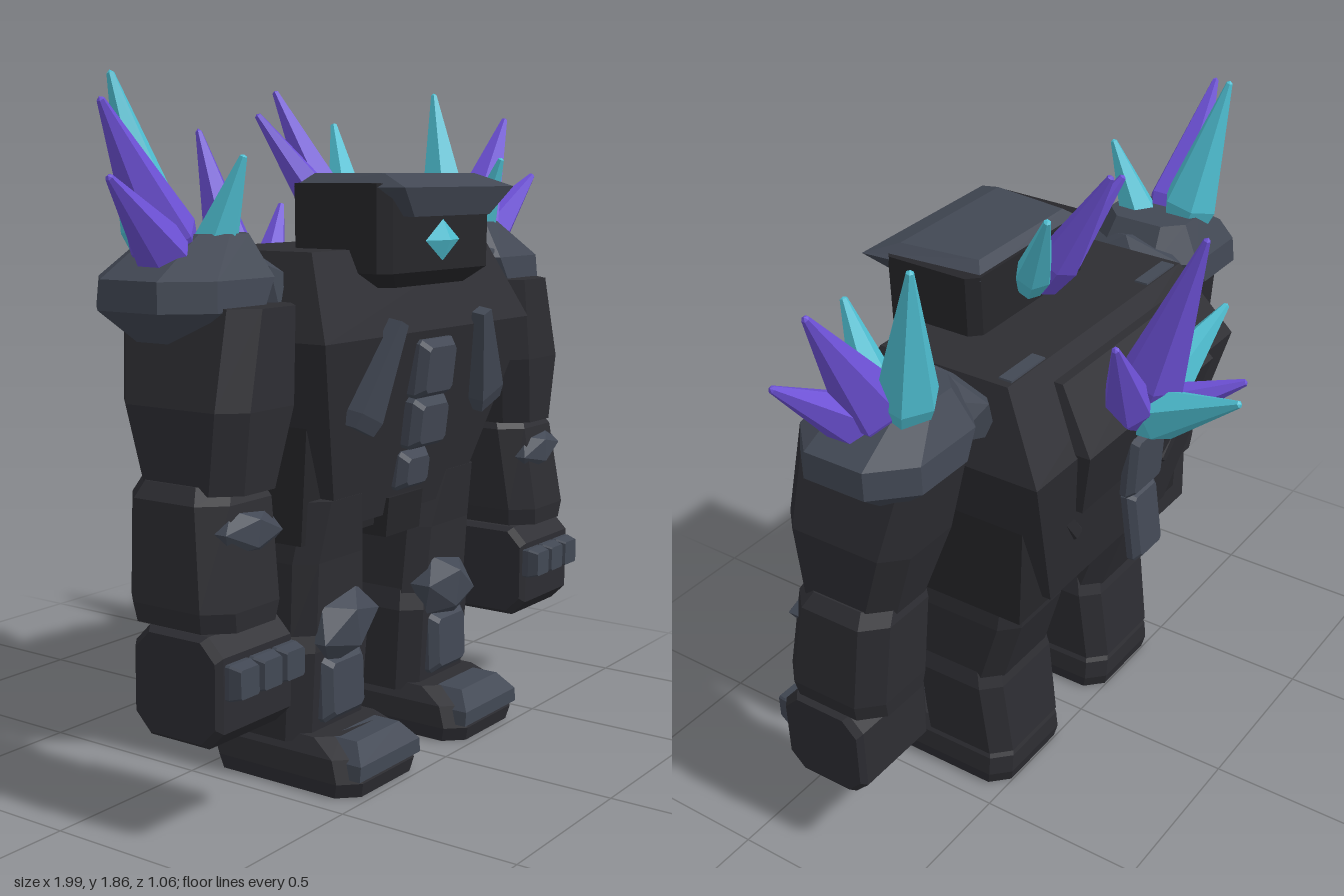
import * as THREE from 'three';

const mat = (name, color) => {
  const m = new THREE.MeshStandardMaterial({ color, flatShading: true });
  m.name = name;
  return m;
};

// Stacked rings [y, centreX, centreZ, halfX, halfZ], bottom to top; cut chamfers the corners
function loft(rings, cut = 0) {
  const pos = [];
  const loops = rings.map(([y, cx, cz, hx, hz]) => {
    const c = Math.min(cut, hx * 0.6, hz * 0.6);
    const pts = c > 0
      ? [[hx - c, hz], [hx, hz - c], [hx, c - hz], [hx - c, -hz], [c - hx, -hz], [-hx, c - hz], [-hx, hz - c], [c - hx, hz]]
      : [[hx, hz], [hx, -hz], [-hx, -hz], [-hx, hz]];
    return pts.map(([x, z]) => [cx + x, y, cz + z]);
  });
  const tri = (a, b, c) => pos.push(...a, ...b, ...c);
  const n = loops[0].length;
  for (let k = 0; k < loops.length - 1; k++) {
    for (let i = 0; i < n; i++) {
      const j = (i + 1) % n, lo = loops[k], hi = loops[k + 1];
      tri(lo[i], lo[j], hi[j]);
      tri(lo[i], hi[j], hi[i]);
    }
  }
  const bottom = loops[0], top = loops[loops.length - 1];
  for (let i = 1; i < n - 1; i++) {
    tri(top[0], top[i], top[i + 1]);
    tri(bottom[0], bottom[i + 1], bottom[i]);
  }
  const g = new THREE.BufferGeometry();
  g.setAttribute('position', new THREE.Float32BufferAttribute(pos, 3));
  g.computeVertexNormals();
  return g;
}

// Bevelled plate facing +z, with its back at z = 0
const plate = (w, h, d, bevel) => loft([
  [0, 0, 0, w / 2, h / 2],
  [d * 0.5, 0, 0, w / 2, h / 2],
  [d, 0, 0, w / 2 - bevel, h / 2 - bevel],
], bevel * 0.6).rotateX(Math.PI / 2);

export function createModel() {
  const stone = mat('dark stone', 0x2d2d32);
  const shade = mat('shadow stone', 0x26262a);
  const armor = mat('slate armor', 0x424854);
  const violet = mat('violet crystal', 0x6d51d6);
  const cyan = mat('cyan crystal', 0x4fc0d3);

  const root = new THREE.Group();
  root.name = 'stoneGolem';
  const add = (name, geo, material, p = [0, 0, 0], r = [0, 0, 0], parent = root) => {
    const m = new THREE.Mesh(geo, material);
    m.name = name;
    m.position.set(...p);
    m.rotation.set(...r);
    parent.add(m);
    return m;
  };
  const rock = (name, p, size, r, parent) => {
    const m = add(name, new THREE.IcosahedronGeometry(1, 0), armor, p, r, parent);
    m.scale.set(...size);
  };

  // Six-sided shard from a base point to a blunt tip
  const up = new THREE.Vector3(0, 1, 0);
  const crystal = (name, from, to, radius, material, parent) => {
    const a = new THREE.Vector3(...from);
    const dir = new THREE.Vector3(...to).sub(a);
    const len = dir.length();
    const profile = [[0, 0], [radius * 0.65, 0], [radius, len * 0.24], [0.01, len * 0.985], [0, len]];
    const geo = new THREE.LatheGeometry(profile.map(p => new THREE.Vector2(...p)), 6);
    const m = add(name, geo, material, from, [0, 0, 0], parent);
    m.quaternion.setFromUnitVectors(up, dir.normalize());
  };

  // Torso
  add('chest', loft([
    [0.68, 0, 0.12, 0.31, 0.22],
    [1.19, 0, 0.125, 0.51, 0.325],
    [1.41, 0, 0.145, 0.43, 0.205],
  ]), stone);
  add('waist', loft([
    [0.65, 0, 0.12, 0.42, 0.19],
    [1.02, 0, 0.12, 0.42, 0.21],
  ]), shade);
  add('backSlab', loft([
    [0.98, 0, -0.1, 0.27, 0.08],
    [1.2, 0, -0.12, 0.325, 0.12],
    [1.36, 0, -0.04, 0.27, 0.08],
  ]), stone);

  // Belly plates down the front, and the loin block
  [[1.09, 0.17, 0.16, 0.42], [0.94, 0.165, 0.14, 0.4], [0.805, 0.14, 0.11, 0.35]].forEach(([y, w, h, z]) =>
    add('bellyPlate', plate(w, h, 0.05, 0.018), armor, [0, y, z], [0.12, 0, 0]));
  add('loinBlock', loft([[0.62, 0, 0.3, 0.085, 0.05], [0.73, 0, 0.31, 0.085, 0.05]]), shade);

  // Spine plates
  add('spinePlate', plate(0.17, 0.2, 0.04, 0.015), armor, [0, 1.03, -0.19], [-0.08, Math.PI, 0]);
  add('spinePlate', plate(0.14, 0.22, 0.04, 0.015), armor, [0, 0.82, -0.19], [0.12, Math.PI, 0]);

  // Head, overhanging brow and single eye
  add('head', loft([
    [1.31, 0, 0.29, 0.2, 0.14],
    [1.35, 0, 0.31, 0.265, 0.155],
    [1.58, 0, 0.31, 0.27, 0.155],
  ], 0.03), shade);
  const brow = add('brow', loft([
    [1.495, 0, 0.33, 0.19, 0.17],
    [1.57, 0, 0.34, 0.275, 0.185],
    [1.605, 0, 0.31, 0.225, 0.12],
  ]), armor);
  const bp = brow.geometry.attributes.position;
  for (let i = 0; i < bp.count; i++) {
    // narrow the back of the brow
    if (bp.getZ(i) < 0.3) bp.setX(i, bp.getX(i) * 0.88);
  }
  brow.geometry.computeVertexNormals();
  const eye = add('eye', new THREE.OctahedronGeometry(1, 0), cyan, [0, 1.43, 0.468]);
  eye.scale.set(0.085, 0.055, 0.025);

  // Crystals behind the head
  crystal('headCrystal', [0, 1.47, 0.12], [0, 1.835, -0.095], 0.062, violet);
  crystal('headCrystal', [-0.03, 1.47, 0.13], [-0.165, 1.765, -0.03], 0.055, violet);
  crystal('headCrystal', [0.04, 1.47, 0.14], [0.155, 1.745, 0], 0.053, cyan);

  // Crystals on the back, listed as base x, tip, colour and radius
  [
    [0, [0, 1.735, -0.38], violet, 0.093],
    [0.04, [0.275, 1.515, -0.28], violet, 0.072],
    [-0.02, [-0.13, 1.28, -0.45], violet, 0.06],
    [0.02, [0.06, 1.33, -0.53], cyan, 0.078],
    [-0.04, [-0.28, 1.41, -0.3], cyan, 0.076],
  ].forEach(([x, tip, material, r]) => crystal('backCrystal', [x, 1.16, -0.19], tip, r, material));

  for (const s of [1, -1]) {
    const side = s > 0 ? 'left' : 'right';
    const group = part => {
      const g = new THREE.Group();
      g.name = side + part;
      root.add(g);
      return g;
    };

    // Ribs and the small plates on top of the shoulders
    add(side + 'Rib', loft([
      [-0.14, 0, 0, 0.05, 0.015], [-0.1, 0, 0, 0.055, 0.025], [0.16, 0, 0, 0.02, 0.02],
    ]), armor, [s * 0.27, 1.08, 0.445], [0.16, 0, s * 0.38]);
    add(side + 'CollarPlate', loft([
      [1.36, s * 0.33, -0.035, 0.085, 0.03], [1.415, s * 0.33, -0.035, 0.075, 0.02],
    ]), armor);
    add(side + 'BackRib', plate(0.05, 0.26, 0.03, 0.01), stone, [s * 0.3, 0.97, -0.125], [-0.1, Math.PI, s * 0.65]);

    // Shoulder
    const shoulder = group('Shoulder');
    add('shoulderRock', loft([
      [1.18, s * 0.71, 0.13, 0.05, 0.07],
      [1.28, s * 0.69, 0.14, 0.19, 0.195],
      [1.355, s * 0.665, 0.14, 0.21, 0.19],
      [1.46, s * 0.61, 0.135, 0.09, 0.13],
    ], 0.1), armor, undefined, undefined, shoulder);
    rock('innerRock', [s * 0.5, 1.325, 0.14], [0.12, 0.11, 0.21], [0, s * 0.2, -s * 0.3], shoulder);
    crystal('shoulderCrystal', [s * 0.67, 1.36, 0.08], [s * 0.745, 1.855, -0.03], 0.085, cyan, shoulder);
    crystal('shoulderCrystal', [s * 0.67, 1.35, 0.13], [s * 0.94, 1.78, 0.12], 0.09, violet, shoulder);
    crystal('shoulderCrystal', [s * 0.7, 1.36, 0.15], [s * 0.995, 1.6, 0.195], 0.073, violet, shoulder);
    crystal('shoulderCrystal', [s * 0.635, 1.37, 0.18], [s * 0.622, 1.65, 0.29], 0.06, cyan, shoulder);

    // Arm, with forearm guard, fist and knuckles
    const arm = group('Arm');
    add('upperArm', loft([
      [0.85, s * 0.7, 0.235, 0.12, 0.16],
      [1.05, s * 0.675, 0.215, 0.145, 0.2],
      [1.29, s * 0.635, 0.185, 0.125, 0.22],
    ], 0.06), stone, undefined, undefined, arm);
    add('forearm', loft([
      [0.53, s * 0.735, 0.25, 0.135, 0.16],
      [0.58, s * 0.735, 0.25, 0.145, 0.165],
      [0.83, s * 0.715, 0.225, 0.14, 0.155],
      [0.87, s * 0.71, 0.22, 0.115, 0.14],
    ], 0.06), stone, undefined, undefined, arm);
    add('wrist', loft([
      [0.48, s * 0.735, 0.265, 0.11, 0.1],
      [0.56, s * 0.735, 0.265, 0.11, 0.1],
    ], 0.05), shade, undefined, undefined, arm);
    rock('forearmGuard', [s * 0.72, 0.755, 0.372], [0.13, 0.065, 0.045], [0, 0, s * 0.1], arm);
    // block with its chamfered edges running across the hand
    add('fist', loft([
      [-0.148, 0, 0, 0.125, 0.125],
      [-0.13, 0, 0, 0.138, 0.137],
      [0.13, 0, 0, 0.138, 0.137],
      [0.148, 0, 0, 0.125, 0.125],
    ], 0.045).rotateZ(Math.PI / 2), stone, [s * 0.732, 0.388, 0.275], undefined, arm);
    for (let i = -1; i <= 1; i++) {
      add('knuckle', plate(0.086, 0.088, 0.06, 0.008), armor, [s * (0.725 + i * 0.09), 0.42, 0.395], undefined, arm);
    }

    // Leg, with knee and shin guards
    const leg = group('Leg');
    add('thigh', loft([
      [0.39, s * 0.265, 0.175, 0.155, 0.15],
      [0.6, s * 0.275, 0.145, 0.15, 0.19],
      [0.765, s * 0.285, 0.15, 0.12, 0.21],
    ], 0.05), stone, undefined, undefined, leg);
    add('shin', loft([
      [0.12, s * 0.265, 0.155, 0.165, 0.16],
      [0.36, s * 0.265, 0.175, 0.17, 0.155],
      [0.43, s * 0.265, 0.18, 0.15, 0.14],
    ], 0.05), stone, undefined, undefined, leg);
    rock('kneeGuard', [s * 0.255, 0.41, 0.325], [0.15, 0.1, 0.065], [0, 0, -s * 0.2], leg);
    add('shinGuard', plate(0.18, 0.18, 0.05, 0.02), armor, [s * 0.265, 0.25, 0.305], [-0.04, 0, 0], leg);

    // Foot, with toe cap
    add('foot', loft([
      [0, s * 0.264, 0.24, 0.165, 0.235],
      [0.04, s * 0.264, 0.24, 0.172, 0.245],
      [0.1, s * 0.264, 0.23, 0.165, 0.235],
      [0.14, s * 0.264, 0.2, 0.14, 0.19],
    ], 0.05), stone, undefined, undefined, leg);
    add('toeCap', loft([
      [0.05, s * 0.264, 0.43, 0.145, 0.06],
      [0.09, s * 0.264, 0.43, 0.14, 0.06],
      [0.14, s * 0.264, 0.41, 0.1, 0.04],
    ]), armor, undefined, undefined, leg);
  }
  return root;
}
